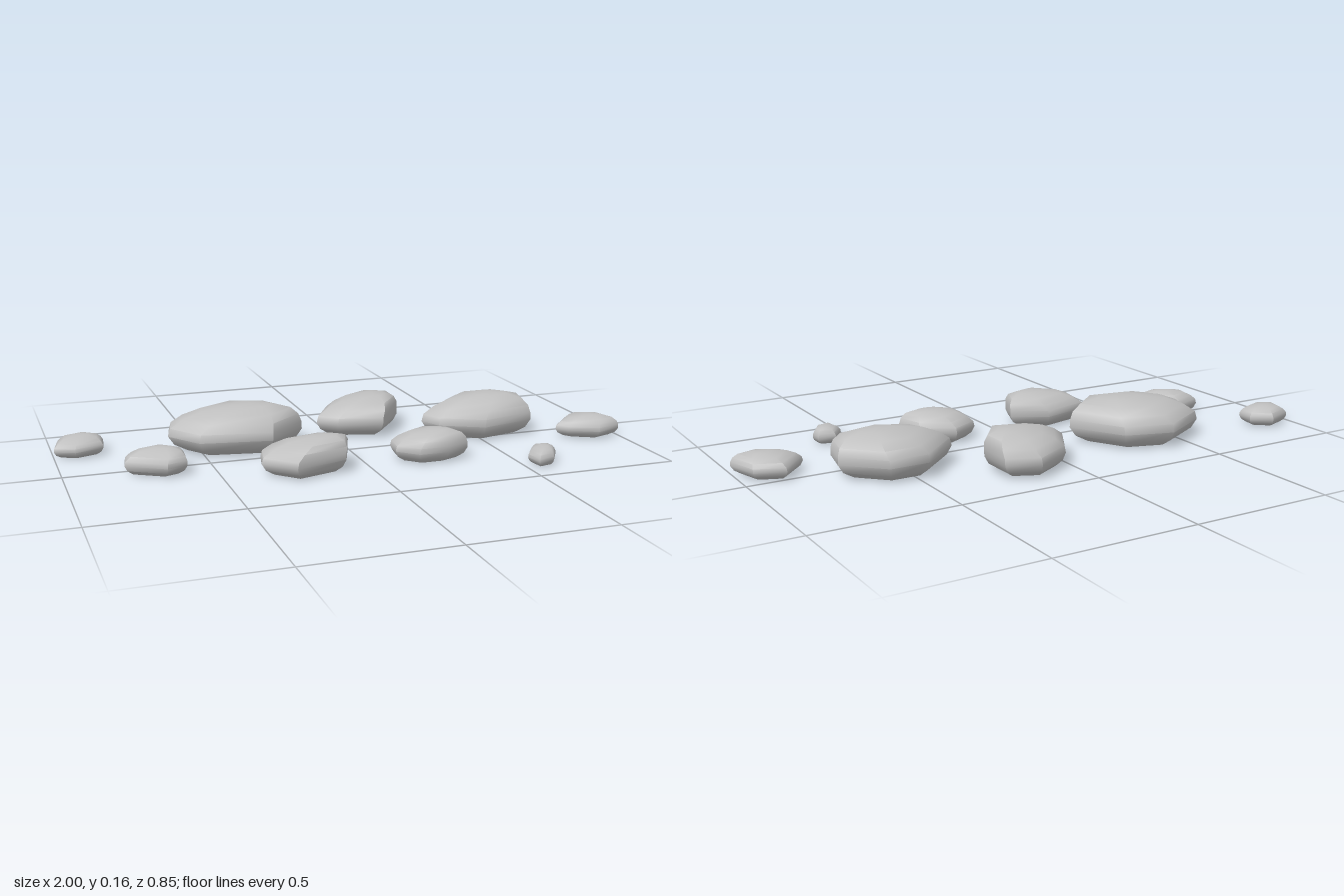
import * as THREE from 'three';
import { toCreasedNormals } from 'three/addons/utils/BufferGeometryUtils.js';

const stoneGrey = new THREE.MeshStandardMaterial({ color: 0xc0c0c0 });
stoneGrey.name = 'stoneGrey';

// Cross-sections from the flat base up: [outline scale, height fraction, shift towards the peak]
const RINGS = [
  [0.64, 0, 0], [0.72, 0.01, 0], [0.91, 0.16, 0], [1, 0.36, 0], [0.98, 0.54, 0.05],
  [0.87, 0.72, 0.3], [0.67, 0.88, 0.6], [0.3, 0.98, 0.95],
];

// Each stone: peak [x, height, z] and its widest outline as [x, z] corners
const STONES = [
  { peak: [-0.9, 0.07, -0.27], outline: [[-1, -0.22], [-0.98, -0.31], [-0.885, -0.345], [-0.82, -0.29], [-0.83, -0.22], [-0.93, -0.185]] },
  { peak: [-0.67, 0.088, 0.04], outline: [[-0.8, 0.045], [-0.79, -0.015], [-0.69, -0.05], [-0.595, 0.03], [-0.6, 0.1], [-0.67, 0.125]] },
  { peak: [-0.31, 0.158, -0.16], outline: [[-0.61, -0.175], [-0.59, -0.265], [-0.41, -0.365], [-0.24, -0.31], [-0.135, -0.125], [-0.275, -0.005], [-0.525, -0.05]] },
  { peak: [-0.15, 0.12, 0.19], outline: [[-0.375, 0.205], [-0.355, 0.115], [-0.175, 0.07], [-0.055, 0.145], [-0.095, 0.25], [-0.28, 0.305]] },
  { peak: [0.18, 0.134, -0.25], outline: [[-0.05, -0.215], [0.025, -0.345], [0.165, -0.425], [0.275, -0.375], [0.275, -0.24], [0.17, -0.105], [0.01, -0.15]] },
  { peak: [0.58, 0.148, -0.07], outline: [[0.315, -0.09], [0.465, -0.225], [0.605, -0.225], [0.73, -0.1], [0.705, 0.02], [0.5, 0.07], [0.35, -0.01]] },
  { peak: [0.26, 0.107, 0.19], outline: [[0.1, 0.2], [0.11, 0.12], [0.21, 0.065], [0.325, 0.125], [0.355, 0.23], [0.27, 0.265], [0.165, 0.265]] },
  { peak: [0.91, 0.078, 0.1], outline: [[0.775, 0.085], [0.865, -0.01], [0.965, 0.03], [1, 0.15], [0.905, 0.18], [0.805, 0.125]] },
  { peak: [0.59, 0.057, 0.345], outline: [[0.525, 0.355], [0.57, 0.29], [0.63, 0.3], [0.635, 0.345], [0.595, 0.41], [0.535, 0.425]] },
];

function stoneGeometry({ peak, outline }) {
  const n = outline.length;
  const middle = (k) => {
    const values = outline.map((p) => p[k]);
    return (Math.min(...values) + Math.max(...values)) / 2;
  };
  const cx = middle(0), cz = middle(1);
  const positions = [], index = [];
  for (const [scale, height, shift] of RINGS) {
    const ox = cx + (peak[0] - cx) * shift, oz = cz + (peak[2] - cz) * shift;
    for (const [x, z] of outline) {
      positions.push(ox + (x - cx) * scale, height * peak[1], oz + (z - cz) * scale);
    }
  }
  const base = RINGS.length * n, top = base + 1, last = (RINGS.length - 1) * n;
  positions.push(cx, 0, cz, ...peak);
  for (let i = 0; i < n; i++) {
    const j = (i + 1) % n;
    for (let r = 0; r < last; r += n) {
      index.push(r + i, r + n + i, r + j, r + j, r + n + i, r + n + j);
    }
    index.push(base, i, j, top, last + j, last + i);
  }
  const geometry = new THREE.BufferGeometry();
  geometry.setAttribute('position', new THREE.Float32BufferAttribute(positions, 3));
  geometry.setIndex(index);
  return toCreasedNormals(geometry, 0.85);
}

export function createModel() {
  const group = new THREE.Group();
  group.name = 'steppingStones';
  STONES.forEach((stone, i) => {
    const mesh = new THREE.Mesh(stoneGeometry(stone), stoneGrey);
    mesh.name = `stone${i + 1}`;
    group.add(mesh);
  });
  return group;
}
